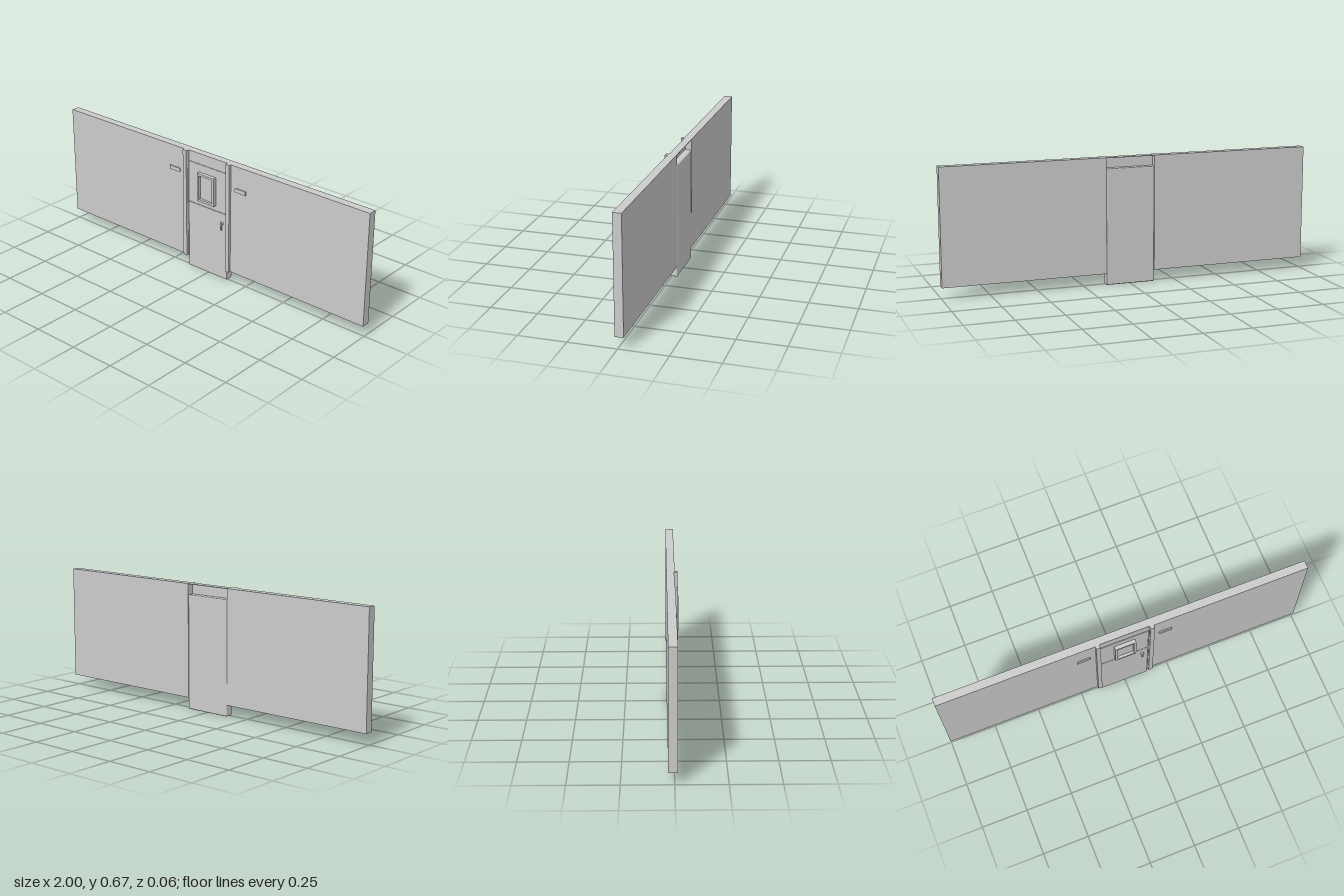
import * as THREE from 'three';
import { RoundedBoxGeometry } from 'three/addons/geometries/RoundedBoxGeometry.js';

const BACK = -0.03, FACE = 0.014; // wall back and front planes
const CX = -0.0025;               // door centre line

export function createModel() {
  const model = new THREE.Group();
  const grey = new THREE.MeshStandardMaterial({ color: 0xcccccc });

  const add = (name, geometry) => {
    const mesh = new THREE.Mesh(geometry, grey);
    mesh.name = name;
    model.add(mesh);
    return mesh;
  };
  // Box given by its two extreme corners, optionally with rounded edges
  const box = (name, x0, x1, y0, y1, z0, z1, r = 0) => {
    const s = [x1 - x0, y1 - y0, z1 - z0];
    const g = r ? new RoundedBoxGeometry(...s, 3, r) : new THREE.BoxGeometry(...s);
    g.translate((x0 + x1) / 2, (y0 + y1) / 2, (z0 + z1) / 2);
    return add(name, g);
  };
  const rect = (Type, w, h) => {
    const p = new Type();
    p.moveTo(-w / 2, -h / 2);
    p.lineTo(w / 2, -h / 2);
    p.lineTo(w / 2, h / 2);
    p.lineTo(-w / 2, h / 2);
    p.closePath();
    return p;
  };

  // Wall panels either side of the doorway
  box('rightWall', -1, -0.135, 0.063, 0.676, BACK, FACE);
  box('leftWall', 0.13, 1, 0.063, 0.676, BACK, FACE);

  // Thin lid and front skin closing the doorway above the door
  box('lintelLid', -0.135, 0.13, 0.673, 0.676, BACK, 0.011);
  box('lintelSkin', -0.135, 0.13, 0.6, 0.676, 0.004, 0.009);

  // Vertical jamb strips
  box('rightJamb', -0.16, -0.137, 0.063, 0.676, FACE - 0.002, 0.028);
  box('leftJamb', 0.132, 0.155, 0.063, 0.676, FACE - 0.002, 0.028);

  // Door: one body, with a lower and an upper leaf on its front
  box('doorBody', -0.134, 0.129, 0.002, 0.618, BACK, 0.009, 0.005);
  box('lowerLeaf', -0.134, 0.129, 0.004, 0.3835, 0.002, 0.012, 0.002);
  box('upperLeaf', -0.134, 0.129, 0.3865, 0.616, 0.002, 0.012, 0.002);

  // Window: raised frame with a recessed pane
  const frame = rect(THREE.Shape, 0.114, 0.158);
  frame.holes.push(rect(THREE.Path, 0.09, 0.134));
  const frameGeo = new THREE.ExtrudeGeometry(frame, { depth: 0.021, bevelEnabled: false });
  add('windowFrame', frameGeo).position.set(CX, 0.494, 0.011);
  box('windowPane', CX - 0.046, CX + 0.046, 0.426, 0.562, 0.011, 0.018);

  // Door handle: round boss with a lever hanging down
  const boss = new THREE.CylinderGeometry(0.009, 0.009, 0.01, 20);
  boss.rotateX(Math.PI / 2);
  add('handleBoss', boss).position.set(0.097, 0.326, 0.016);
  box('handleLever', 0.092, 0.102, 0.288, 0.328, 0.016, 0.024, 0.0035);

  // Grab rails on the walls, rounded at the end nearest the door
  const rail = new THREE.Shape();
  rail.moveTo(0.255, 0.011);
  rail.lineTo(0.194, 0.011);
  rail.absarc(0.194, 0, 0.011, Math.PI / 2, Math.PI * 1.5, false);
  rail.lineTo(0.255, -0.011);
  rail.closePath();
  const railGeo = new THREE.ExtrudeGeometry(rail, { depth: 0.007, bevelEnabled: false, curveSegments: 10 });
  add('leftGrabRail', railGeo).position.set(0, 0.546, FACE - 0.001);
  const mirrored = railGeo.clone().rotateZ(Math.PI);
  add('rightGrabRail', mirrored).position.set(-0.005, 0.546, FACE - 0.001);

  return model;
}
